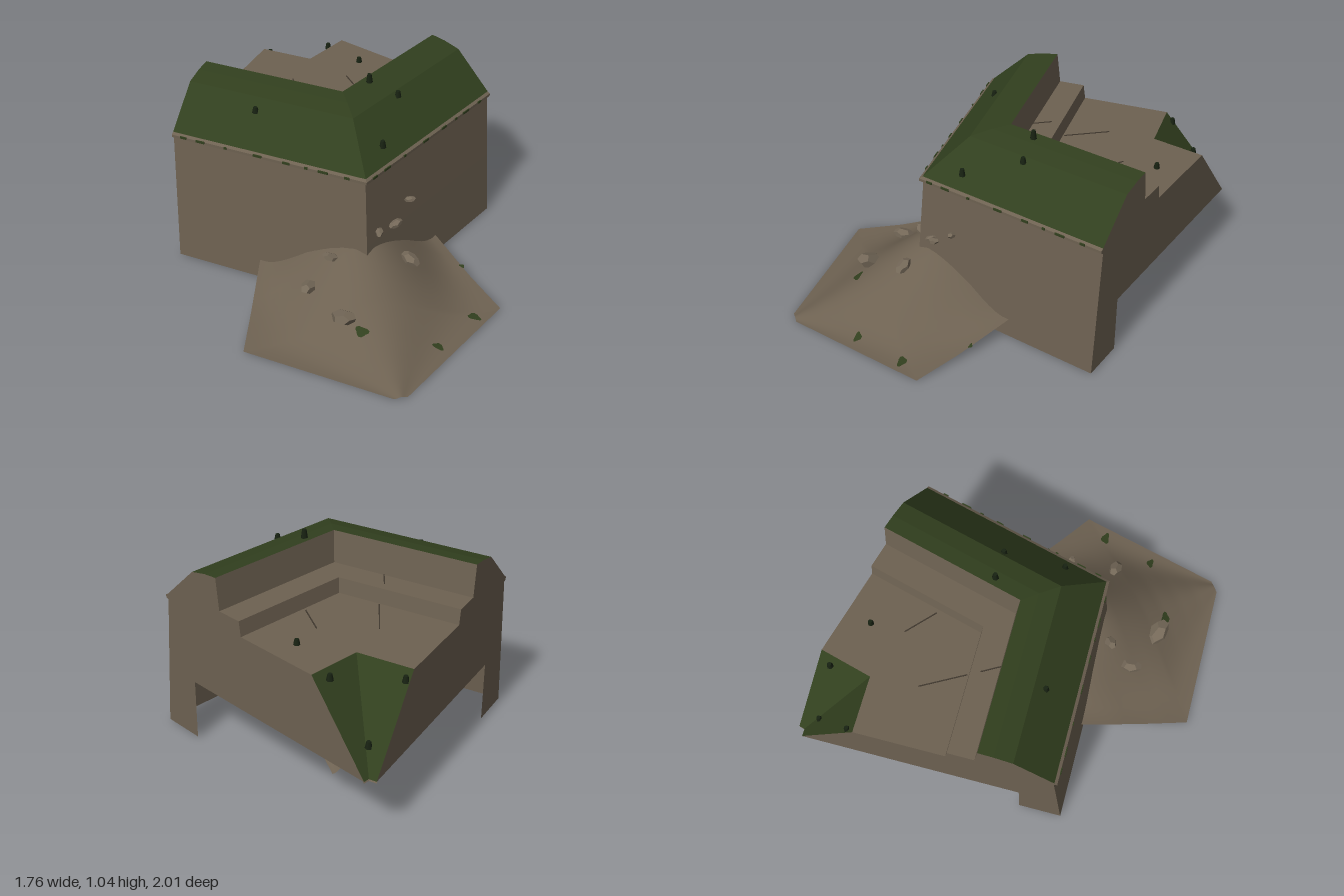
import * as THREE from 'three';

const mat = (name, color, side = THREE.FrontSide) => {
  const m = new THREE.MeshStandardMaterial({ color, side });
  m.name = name;
  return m;
};

// Two wall arms meet on a mitre line; the second arm is turned by 15 degrees.
const END_X = -0.88, DX = 0.259, DZ = -0.966, END_D = 0.746;
const stations = ([z, y]) => {
  const cx = 0.767 * z - 0.1;
  const s = END_D - (DX * cx + DZ * z);
  return [[END_X, y, z], [cx, y, z], [cx + DX * s, y, z + DZ * s]];
};

const fromTriangles = (pos) => {
  const g = new THREE.BufferGeometry();
  g.setAttribute('position', new THREE.Float32BufferAttribute(pos, 3));
  g.computeVertexNormals();
  return g;
};

// Sweeps an open cross-section [z, y] along both arms
function sweep(profile) {
  const pos = [], rows = profile.map(stations);
  for (let i = 0; i < rows.length - 1; i++) {
    for (let k = 0; k < 2; k++) {
      const a = rows[i][k], b = rows[i][k + 1], c = rows[i + 1][k + 1], d = rows[i + 1][k];
      pos.push(...a, ...b, ...c, ...a, ...c, ...d);
    }
  }
  return fromTriangles(pos);
}

// Closes both cut ends of the section
function endCaps(profile) {
  const pos = [];
  const faces = THREE.ShapeUtils.triangulateShape(profile.map(([z, y]) => new THREE.Vector2(z, y)), []);
  for (const [a, b, c] of faces) {
    for (const i of [a, b, c]) pos.push(...stations(profile[i])[0]);
    for (const i of [a, c, b]) pos.push(...stations(profile[i])[2]);
  }
  return fromTriangles(pos);
}

// Earth slide in coordinates along (u) and across (w) the mitre axis
const U = [0.609, 0.793];
const toXZ = (u, w) => [-0.115 + U[0] * u + U[1] * w, U[1] * u - U[0] * w];
const toUW = (x, z) => [(x + 0.115) * U[0] + z * U[1], (x + 0.115) * U[1] - z * U[0]];
function ramp(points, v) {
  for (let i = 1; i < points.length; i++) {
    const [a, ya] = points[i - 1], [b, yb] = points[i];
    if (v <= b) return ya + (yb - ya) * THREE.MathUtils.clamp((v - a) / (b - a), 0, 1);
  }
  return points[points.length - 1][1];
}
const BACK = -0.86, WIDEST = 0.753, TIP = 1.25;
const HALF = [[BACK, 0.13], [WIDEST, 0.675], [TIP, 0.035]];
const RIDGE = [[BACK, 0.25], [0, 0.31], [0.3, 0.37], [0.5, 0.36], [0.62, 0.29], [0.76, 0.2], [0.88, 0.135], [1.0, 0.085], [1.12, 0.045], [TIP, 0.014]];
const EDGE = [[BACK, 0.13], [-0.76, 0.17], [-0.4, 0.19], [0.12, 0.135], [0.5, 0.045], [WIDEST, 0.01], [TIP, 0.008]];
const FALL = [[0.35, 2], [0.75, 3.8]];
function slideHeight(u, w) {
  const s = Math.min(1, Math.abs(w) / ramp(HALF, u));
  const e = ramp(EDGE, u);
  return e + (ramp(RIDGE, u) - e) * (1 - s * s) ** ramp(FALL, u);
}

export function createModel() {
  const group = new THREE.Group();
  const earth = mat('earth', 0x6d6151, THREE.DoubleSide);
  const grass = mat('grass', 0x313f1e, THREE.DoubleSide);
  const shrub = mat('shrub', 0x182212);
  const stone = mat('stone', 0x746858);
  const crack = mat('crack', 0x40382e);
  const add = (name, geo, material, p = [0, 0, 0]) => {
    const m = new THREE.Mesh(geo, material);
    m.name = name;
    m.position.set(...p);
    group.add(m);
    return m;
  };

  // Cross-section pieces, running from the outer foot over the top; the shell is open below
  const face = [[0.452, 0.01], [0.425, 0.38], [0.398, 0.745]];
  const cordon = [[0.398, 0.745], [0.415, 0.753], [0.415, 0.768], [0.4, 0.777]];
  const parapet = [[0.4, 0.777], [0.195, 0.97], [0.1, 0.992], [0.02, 1.0]];
  const walk = [[0.02, 1.0], [0.0, 0.83], [-0.14, 0.83], [-0.152, 0.75], [-0.63, 0.75]];
  const bank = [[-0.63, 0.75], [-0.965, 0.34]];
  const notch = [[-0.965, 0.34], [0.22, 0.34], [0.22, 0.01], [0.452, 0.01]];
  add('outerWall', sweep(face), earth);
  add('cordon', sweep(cordon), earth);
  add('grassParapet', sweep(parapet), grass);
  add('wallWalk', sweep(walk), earth);
  add('grassBank', sweep(bank), grass);
  const outline = [face, cordon, parapet, walk, bank, notch].flatMap((p) => p.slice(0, -1));
  add('cutEnds', endCaps(outline), earth);

  // Earth core just beneath the turf
  const lowered = (p) => p.map(([z, y]) => [z, y - 0.01]);
  add('parapetCore', sweep(lowered(parapet)), earth);
  add('bankCore', sweep(lowered(bank)), earth);

  // Tufts of turf hanging over the cordon on both arms
  const [start, corner, end] = stations([0.417, 0.766]);
  for (const [a, b, turn] of [[start, corner, 0], [corner, end, Math.atan2(-DZ, DX)]]) {
    for (let i = 0; i < 8; i++) {
      const t = (i + 0.5 + 0.3 * Math.sin(i * 5.1)) / 8;
      const tuft = new THREE.BoxGeometry(0.035 + 0.02 * Math.sin(i * 2.3), 0.012, 0.006);
      add('turfTuft', tuft, grass, a.map((v, k) => v + (b[k] - v) * t)).rotation.y = turn;
    }
  }

  // Earth slide against the outer corner
  const slide = new THREE.PlaneGeometry(1, 1, 24, 40);
  const sp = slide.attributes.position;
  for (let i = 0; i < sp.count; i++) {
    const t = 1 - 2 * sp.getY(i);
    const u = t < 1 ? BACK + t * (WIDEST - BACK) : WIDEST + (t - 1) * (TIP - WIDEST);
    const w = sp.getX(i) * 2 * ramp(HALF, u);
    const [x, z] = toXZ(u, w);
    sp.setXYZ(i, x, slideHeight(u, w), z);
  }
  slide.computeVertexNormals();
  add('earthSlide', slide, earth);

  // Ragged grass patches that follow the slide
  const patches = [[0.78, 0.31, 0.036], [0.69, 0.6, 0.03], [0.34, 0.755, 0.036], [0.6, 0, 0.016]];
  for (const [x, z, r] of patches) {
    const g = new THREE.CircleGeometry(r, 14).rotateX(-Math.PI / 2);
    const p = g.attributes.position;
    for (let i = 0; i < p.count; i++) {
      const k = 0.95 + 0.2 * Math.sin(3 * Math.atan2(p.getZ(i), p.getX(i)) + x * 9);
      const px = x + p.getX(i) * k, pz = z + p.getZ(i) * k * 0.65;
      p.setXYZ(i, px, slideHeight(...toUW(px, pz)) + 0.004, pz);
    }
    g.computeVertexNormals();
    add('grassPatch', g, grass);
  }

  // Fallen stones
  const stones = [[0.36, 0.56, 0.185, 0.03], [0.33, 0.475, 0.3, 0.036], [0.26, 0.43, 0.345, 0.03],
    [0.46, 0.375, 0.42, 0.05], [0.055, 0.31, 0.49, 0.045], [-0.01, 0.2, 0.63, 0.056],
    [0.23, 0.16, 0.73, 0.078], [-0.25, 0.018, 0.44, 0.024]];
  stones.forEach(([x, y, z, r], i) => {
    const m = add('stone', new THREE.DodecahedronGeometry(r, 0), stone, [x, y, z]);
    m.scale.set(1.1, 0.5, 0.7);
    m.rotation.set(0.3 * Math.sin(i * 3), i * 0.955, 0.3);
  });

  // Small shrubs on the grass and the floor: x, foot height, z, height
  const shrubs = [[0, 0.995, -0.13, 0.048], [0.16, 0.945, -0.13, 0.035], [0.205, 0.83, 0.18, 0.04],
    [-0.47, 0.91, 0.25, 0.032], [-0.31, 0.745, -0.71, 0.035], [-0.79, 0.44, -0.88, 0.035],
    [-0.57, 0.71, -0.85, 0.035], [-0.86, 0.695, -0.67, 0.035]];
  for (const [x, y, z, h] of shrubs) {
    add('shrub', new THREE.CylinderGeometry(0.011, 0.018, h, 6), shrub, [x, y + h / 2, z]);
  }

  // Cracks in the floor and the step
  const cracks = [[-0.57, 0.38, -0.45, 0.16, 0.752], [-0.44, 0.09, -0.39, 0.0, 0.832], [-0.31, 0.53, -0.17, 0.4, 0.752]];
  for (const [x0, z0, x1, z1, y] of cracks) {
    const len = Math.hypot(x1 - x0, z1 - z0);
    const m = add('floorCrack', new THREE.BoxGeometry(len, 0.003, 0.006), crack, [(x0 + x1) / 2, y, -(z0 + z1) / 2]);
    m.rotation.y = Math.atan2(z1 - z0, x1 - x0);
  }
  return group;
}
